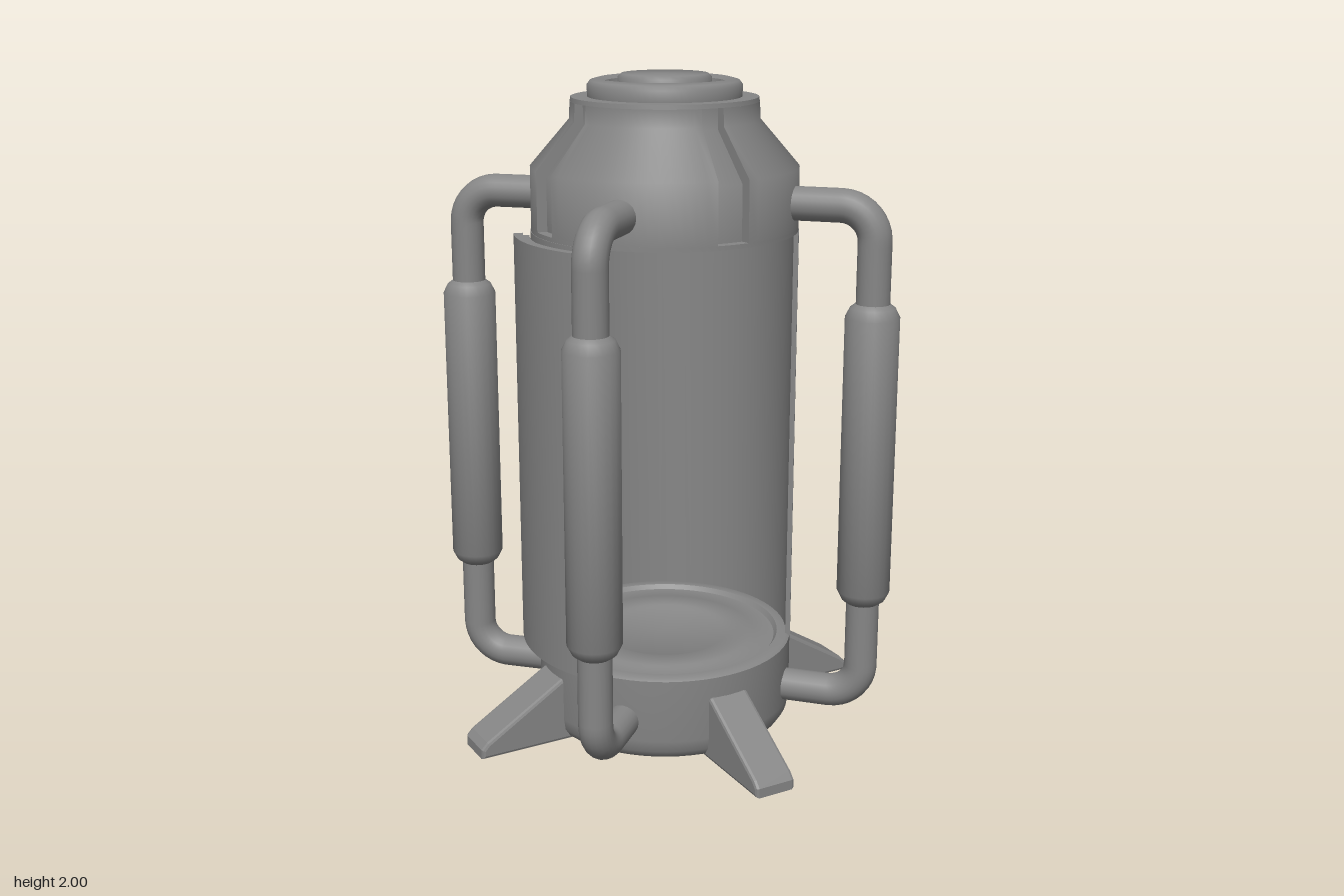
import * as THREE from 'three';
import { toCreasedNormals, mergeGeometries } from 'three/addons/utils/BufferGeometryUtils.js';

const material = new THREE.MeshStandardMaterial({ color: 0x868686, side: THREE.DoubleSide });
const deg = Math.PI / 180;
const crease = 0.85;
const vectors = (pts) => pts.map(([r, y]) => new THREE.Vector2(r, y));

function addMesh(parent, name, geometry) {
  const mesh = new THREE.Mesh(geometry, material);
  mesh.name = name;
  parent.add(mesh);
  return mesh;
}

// Full turned part; the profile runs bottom to top on its outside
function turned(pts, sides = 64) {
  return toCreasedNormals(new THREE.LatheGeometry(vectors(pts), sides), crease);
}

// Solid arc swept from a closed profile; angles in degrees, 0 at +z, 90 at +x
function arcSolid(pts, start, end) {
  const closed = [...pts, pts[0]];
  const sides = Math.ceil((end - start) / 5);
  const sweep = new THREE.LatheGeometry(vectors(closed), sides, start * deg, (end - start) * deg);
  const cap = (angle) => new THREE.ShapeGeometry(new THREE.Shape(vectors(pts))).rotateY(angle * deg - Math.PI / 2);
  const parts = [sweep, cap(start), cap(end)].map((g) => g.toNonIndexed());
  return toCreasedNormals(mergeGeometries(parts), crease);
}

const rectangle = (r0, r1, y0, y1) => [[r0, y0], [r1, y0], [r1, y1], [r0, y1]];

export function createModel() {
  const model = new THREE.Group();
  model.name = 'pod';

  // Base with a small rounded lower edge and stepped floor
  addMesh(model, 'base', turned([
    [0, 0.004], [0.35, 0.004], [0.375, 0.012], [0.39, 0.035], [0.395, 0.07],
    [0.395, 0.265], [0.385, 0.272], [0.355, 0.272], [0.345, 0.258], [0.285, 0.258],
    [0.275, 0.264], [0.2, 0.264], [0.19, 0.258], [0, 0.258],
  ]));

  // Curved back wall, open towards the front
  addMesh(model, 'backWall', arcSolid(rectangle(0.382, 0.397, 0.265, 1.547), 53, 307));

  // Slid-open door on the side, with a slightly offset inner layer
  const door = new THREE.Group();
  door.name = 'door';
  model.add(door);
  addMesh(door, 'doorOuter', arcSolid(rectangle(0.42, 0.447, 0.27, 1.54), 246, 303));
  addMesh(door, 'doorInner', arcSolid(rectangle(0.4, 0.42, 0.28, 1.53), 243, 300));

  // Cap: core, rims, and four shells that leave slots between them
  const cap = new THREE.Group();
  cap.name = 'cap';
  model.add(cap);
  addMesh(cap, 'capCore', turned([
    [0, 1.547], [0.365, 1.547], [0.365, 1.72], [0.252, 1.86], [0.252, 1.93], [0, 1.93],
  ]));
  addMesh(cap, 'capLowerRim', turned([[0.35, 1.547], [0.395, 1.547], [0.395, 1.56], [0.35, 1.56]]));
  addMesh(cap, 'capUpperRim', turned([[0.24, 1.922], [0.276, 1.922], [0.274, 1.935], [0, 1.935]]));
  const shellProfile = [
    [0.33, 1.56], [0.395, 1.56], [0.395, 1.735], [0.279, 1.87],
    [0.276, 1.922], [0.22, 1.922], [0.22, 1.85], [0.33, 1.72],
  ];
  for (let i = 0; i < 4; i++) {
    addMesh(cap, 'capShell', arcSolid(shellProfile, i * 90 + 7.2, i * 90 + 82.8));
  }

  // Top ring with a recess and round knob
  addMesh(cap, 'topRing', turned([
    [0.17, 1.935], [0.225, 1.935], [0.227, 1.968], [0.217, 1.981],
    [0.195, 1.987], [0.175, 1.977], [0.165, 1.935],
  ]));
  addMesh(cap, 'topKnob', turned([
    [0, 1.935], [0.135, 1.935], [0.137, 1.99], [0.127, 2], [0, 2],
  ], 32));

  // Four wedge feet
  const legShape = new THREE.Shape(vectors([
    [0.31, 0.01], [0.65, 0.01], [0.65, 0.026], [0.635, 0.042], [0.39, 0.192], [0.31, 0.22],
  ]));
  const legGeometry = new THREE.ExtrudeGeometry(legShape, {
    depth: 0.11, bevelThickness: 0.01, bevelSize: 0.01, bevelSegments: 2,
  }).translate(0, 0, -0.055);
  for (let i = 0; i < 4; i++) {
    addMesh(model, 'leg', legGeometry).rotation.y = i * Math.PI / 2;
  }

  // Four bent pipes with thick sleeves
  const sleeveGeometry = turned([
    [0.05, 0.435], [0.066, 0.447], [0.08, 0.475], [0.08, 1.32], [0.066, 1.348], [0.05, 1.36],
  ], 24);
  for (const [x, z] of [[0.435, 0.455], [-0.455, 0.415], [-0.45, -0.435], [0.41, -0.45]]) {
    const pipe = new THREE.Group();
    pipe.name = 'pipe';
    const reach = Math.hypot(x, z);
    const point = (r, y) => new THREE.Vector3(r, y, 0);
    const path = new THREE.CurvePath();
    path.add(new THREE.LineCurve3(point(0.35, 0.13), point(reach - 0.1, 0.13)));
    path.add(new THREE.CubicBezierCurve3(
      point(reach - 0.1, 0.13), point(reach - 0.045, 0.13), point(reach, 0.175), point(reach, 0.23)));
    path.add(new THREE.LineCurve3(point(reach, 0.23), point(reach, 1.54)));
    path.add(new THREE.CubicBezierCurve3(
      point(reach, 1.54), point(reach, 1.595), point(reach - 0.045, 1.64), point(reach - 0.1, 1.64)));
    path.add(new THREE.LineCurve3(point(reach - 0.1, 1.64), point(0.35, 1.64)));
    addMesh(pipe, 'pipeTube', new THREE.TubeGeometry(path, 120, 0.05, 20));
    addMesh(pipe, 'pipeSleeve', sleeveGeometry).position.x = reach;
    pipe.rotation.y = Math.atan2(-z, x);
    model.add(pipe);
  }

  return model;
}
